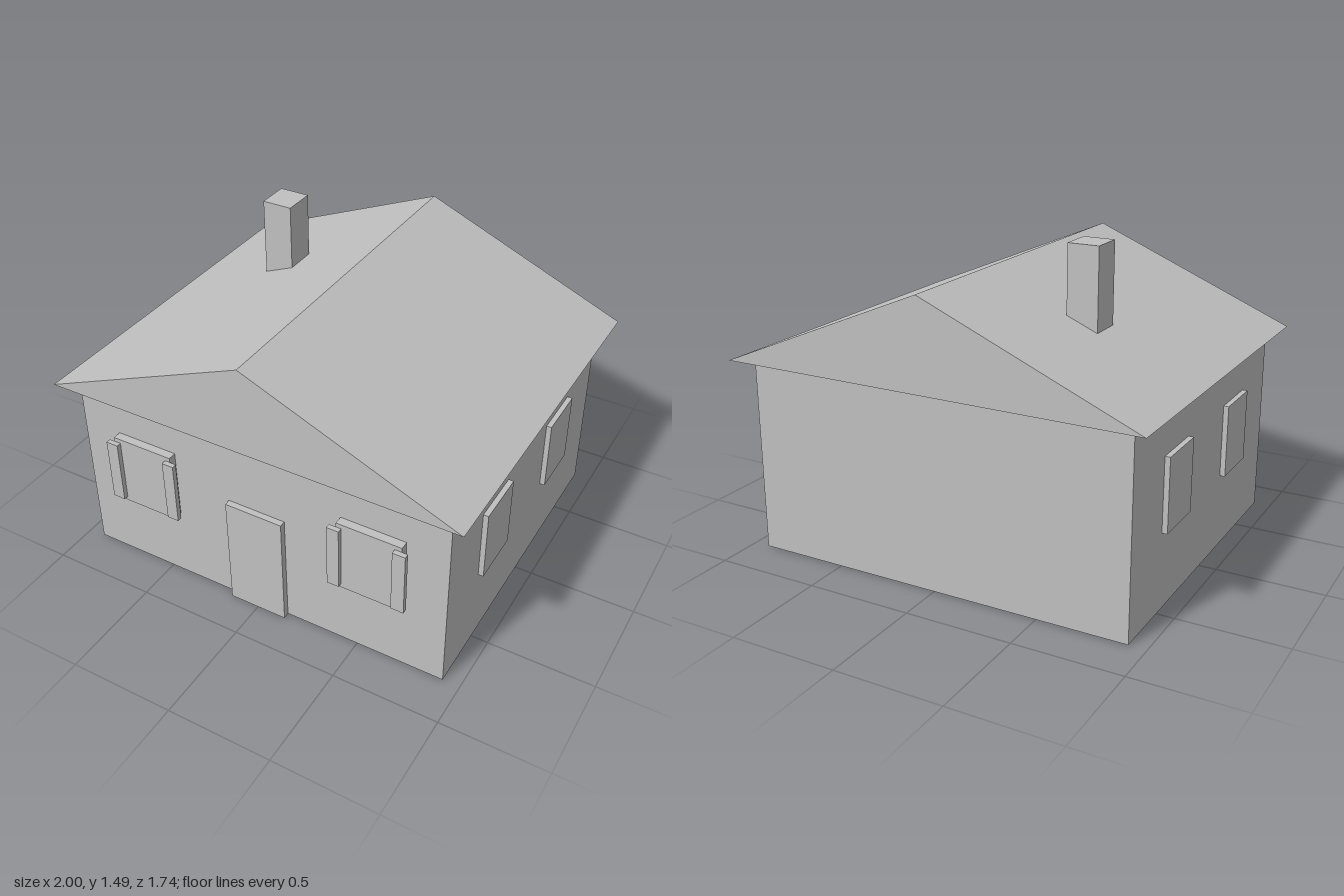
import * as THREE from 'three';

export function createModel() {
  const house = new THREE.Group();
  house.name = 'house';
  const plaster = new THREE.MeshStandardMaterial({ color: 0xc0c0c0 });
  plaster.name = 'light grey';

  // Box given by its extents along each axis
  function block(name, [x0, x1], [y0, y1], [z0, z1]) {
    const mesh = new THREE.Mesh(new THREE.BoxGeometry(x1 - x0, y1 - y0, z1 - z0), plaster);
    mesh.position.set((x0 + x1) / 2, (y0 + y1) / 2, (z0 + z1) / 2);
    mesh.name = name;
    house.add(mesh);
  }

  block('walls', [-0.92, 0.92], [0.003, 0.925], [-0.79, 0.79]);
  block('door', [-0.142, 0.142], [0, 0.556], [0.78, 0.82]);
  block('chimney', [-0.535, -0.39], [1.0, 1.49], [-0.315, -0.16]);

  // Gabled roof prism, overhanging the walls on all sides
  const gable = new THREE.Shape([
    new THREE.Vector2(-1, 0.924),
    new THREE.Vector2(1, 0.924),
    new THREE.Vector2(0, 1.343),
  ]);
  const roofGeometry = new THREE.ExtrudeGeometry(gable, { depth: 1.74, bevelEnabled: false });
  roofGeometry.translate(0, 0, -0.87);
  const roof = new THREE.Mesh(roofGeometry, plaster);
  roof.name = 'roof';
  house.add(roof);

  for (const side of [-1, 1]) {
    const label = side > 0 ? 'left' : 'right';
    const span = (a, b) => (side > 0 ? [a, b] : [-b, -a]);

    // Front window with a shutter on each edge
    block(label + 'FrontWindow', span(0.42, 0.725), [0.354, 0.706], [0.78, 0.83]);
    block(label + 'InnerShutter', span(0.388, 0.445), [0.375, 0.685], [0.83, 0.853]);
    block(label + 'OuterShutter', span(0.692, 0.752), [0.375, 0.685], [0.83, 0.853]);

    // Two windows on the side wall
    block(label + 'SideFrontWindow', span(0.91, 0.944), [0.36, 0.7], [0.219, 0.48]);
    block(label + 'SideBackWindow', span(0.91, 0.944), [0.36, 0.7], [-0.475, -0.214]);
  }

  return house;
}
